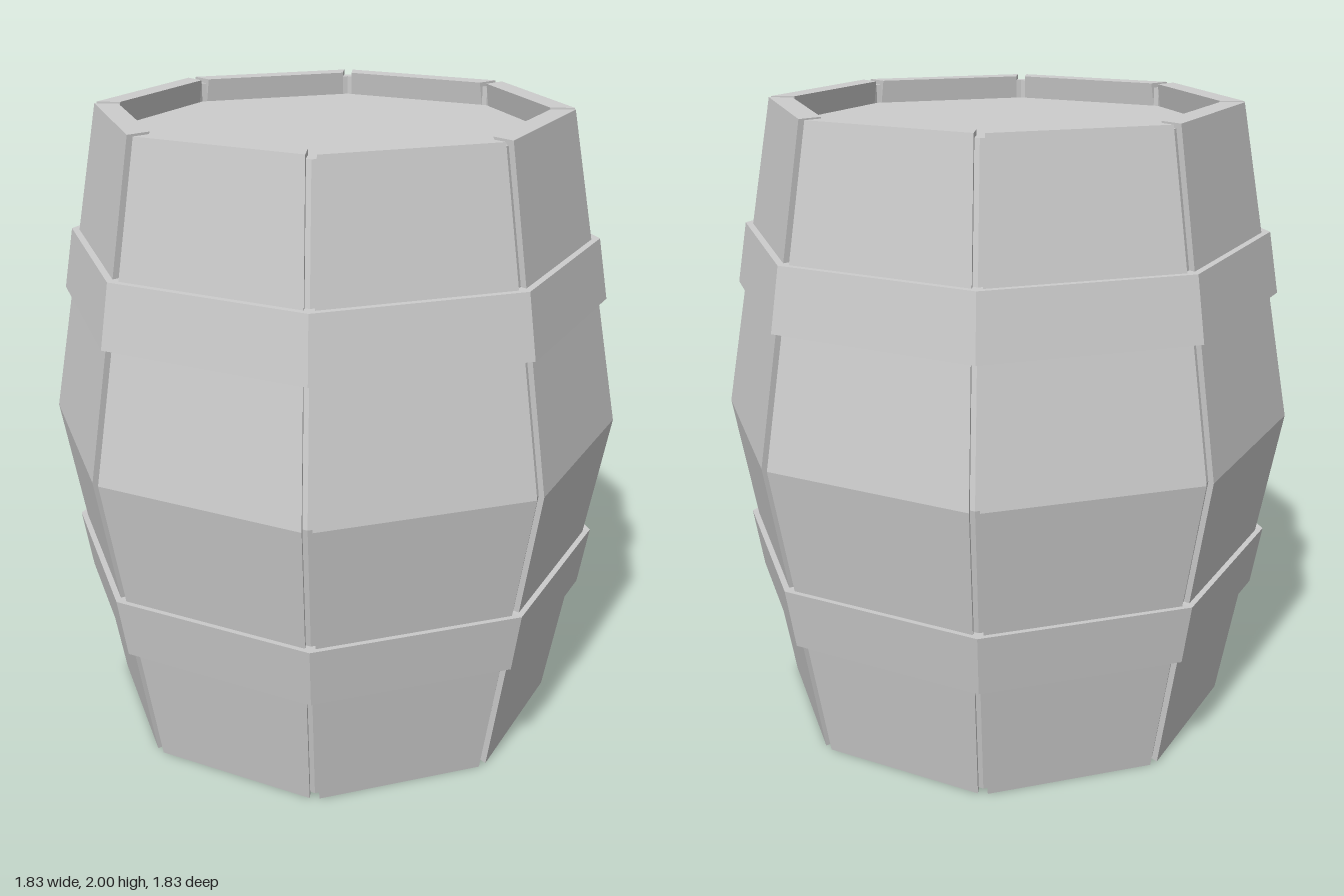
import * as THREE from 'three';

const SIDES = 8;
const GAP = 0.015; // half the slit between neighbouring staves

// Eight-sided turned solid with corners on the x and z axes
function turned(name, profile, material) {
  const points = profile.map(([r, y]) => new THREE.Vector2(r, y));
  const mesh = new THREE.Mesh(new THREE.LatheGeometry(points, SIDES), material);
  mesh.name = name;
  return mesh;
}

// One bent plank: rectangular cross-sections stacked from bottom to top
function staveGeometry(sections) {
  const step = (Math.PI * 2) / SIDES;
  const corner = (r, angle, shift) => [
    r * Math.sin(angle) + shift * Math.cos(angle),
    r * Math.cos(angle) - shift * Math.sin(angle),
  ];
  const positions = [];
  const index = [];
  for (const [y, outer, inner] of sections) {
    const loop = [
      corner(outer, 0, GAP), corner(outer, step, -GAP),
      corner(inner, step, -GAP), corner(inner, 0, GAP),
    ];
    for (const [x, z] of loop) positions.push(x, y, z);
  }
  for (let s = 0; s < sections.length - 1; s++) {
    for (let k = 0; k < 4; k++) {
      const a = s * 4 + k, b = s * 4 + ((k + 1) % 4);
      index.push(a, b, b + 4, a, b + 4, a + 4);
    }
  }
  const t = (sections.length - 1) * 4;
  index.push(0, 2, 1, 0, 3, 2, t, t + 1, t + 2, t, t + 2, t + 3);
  const geometry = new THREE.BufferGeometry();
  geometry.setAttribute('position', new THREE.Float32BufferAttribute(positions, 3));
  geometry.setIndex(index);
  const flat = geometry.toNonIndexed();
  flat.computeVertexNormals();
  return flat;
}

export function createModel() {
  const barrel = new THREE.Group();
  barrel.name = 'barrel';
  const grey = new THREE.MeshStandardMaterial({ color: 0xcccccc, flatShading: true });
  grey.name = 'plain grey';

  // Core seen through the slits, with a sunken lid on top
  barrel.add(turned('core', [
    [0, 0.008], [0.72, 0.008], [0.9, 1], [0.723, 1.985],
    [0.68, 1.985], [0.68, 1.925], [0, 1.925],
  ], grey));

  // Staves
  const staves = new THREE.Group();
  staves.name = 'staves';
  const plank = staveGeometry([[0, 0.735, 0.66], [1, 0.915, 0.84], [2, 0.735, 0.66]]);
  for (let i = 0; i < SIDES; i++) {
    const stave = new THREE.Mesh(plank, grey);
    stave.name = 'stave';
    stave.rotation.y = (i * Math.PI * 2) / SIDES;
    staves.add(stave);
  }
  barrel.add(staves);

  // Hoops, mirrored about the belly
  const upper = [[0.79, 1.41], [0.868, 1.405], [0.835, 1.6], [0.76, 1.6]];
  const lower = upper.map(([r, y]) => [r, 2 - y]).reverse();
  barrel.add(turned('upperHoop', upper, grey), turned('lowerHoop', lower, grey));

  return barrel;
}
